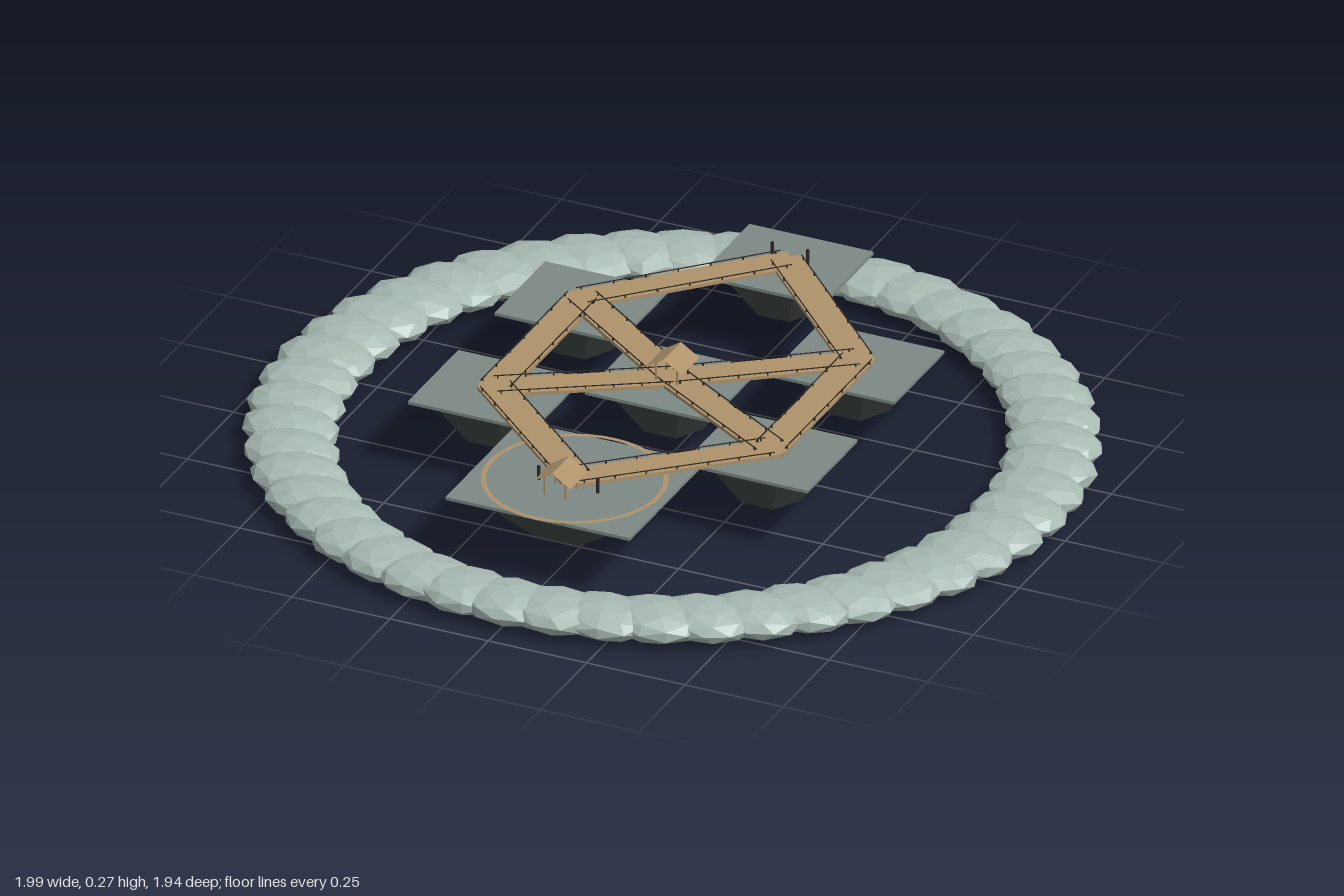
import * as THREE from 'three';

const mat = (name, hex, extra = {}) => {
  const m = new THREE.MeshStandardMaterial({ color: hex, flatShading: true, ...extra });
  m.name = name;
  return m;
};

export function createModel() {
  const stone = mat('paleStone', 0xa9bab3);
  const slate = mat('slateDeck', 0x7e8a85);
  const dark = mat('darkHull', 0x414946);
  const wood = mat('wood', 0xae926a, { side: THREE.DoubleSide });
  const rope = mat('darkRope', 0x2b2622);

  const root = new THREE.Group();
  root.name = 'floatingVillage';

  const add = (parent, name, geo, material, x = 0, y = 0, z = 0) => {
    const m = new THREE.Mesh(geo, material);
    m.name = name;
    m.position.set(x, y, z);
    parent.add(m);
    return m;
  };
  const group = (name, x = 0, y = 0, z = 0) => {
    const g = new THREE.Group();
    g.name = name;
    g.position.set(x, y, z);
    root.add(g);
    return g;
  };

  // Breakwater: overlapping flattened boulders in a circle
  const breakwater = group('breakwater');
  const COUNT = 48;
  for (let i = 0; i < COUNT; i++) {
    const a = (i / COUNT) * Math.PI * 2;
    const geo = new THREE.IcosahedronGeometry(1, 1).rotateY(i * 0.7).scale(0.12, 0.043, 0.092);
    add(breakwater, 'boulder', geo, stone, Math.cos(a) * 0.88, 0.043, Math.sin(a) * 0.88);
  }

  // Platforms: a rectangular deck on a tapered six-sided hull
  const DECK = 0.192;
  const platform = (name, x, z, r) => {
    const g = group(name, x, 0, z);
    const w = r * 2, d = r * Math.sqrt(3);
    add(g, 'deck', new THREE.BoxGeometry(w, 0.008, d), slate, 0, DECK - 0.004, 0);
    const hull = new THREE.CylinderGeometry(r, r * 0.5, 0.105, 6).rotateY(Math.PI / 6);
    add(g, 'hull', hull, dark, 0, DECK - 0.0585, 0);
  };
  const nodes = {
    centre: [0, 0], front: [0, 0.53], back: [0, -0.62],
    frontLeft: [0.35, 0.215], frontRight: [-0.35, 0.215],
    backLeft: [0.35, -0.257], backRight: [-0.35, -0.257],
  };
  for (const [name, [x, z]] of Object.entries(nodes)) {
    platform(name + 'Platform', x, z, name === 'front' ? 0.234 : 0.158);
  }

  // Walkways with rope rails on both edges
  const walkway = (from, to) => {
    const [ax, az] = nodes[from], [bx, bz] = nodes[to];
    const len = Math.hypot(bx - ax, bz - az);
    const g = group('walkway', (ax + bx) / 2, 0, (az + bz) / 2);
    g.rotation.y = Math.atan2(bx - ax, bz - az);
    add(g, 'planks', new THREE.BoxGeometry(0.078, 0.008, len + 0.03), wood, 0, 0.197, 0);
    for (const s of [-1, 1]) {
      add(g, 'rail', new THREE.BoxGeometry(0.002, 0.002, len), rope, s * 0.037, 0.208, 0);
      for (let i = 0; i <= 6; i++) {
        add(g, 'railPost', new THREE.BoxGeometry(0.003, 0.01, 0.003), rope,
          s * 0.037, 0.204, (i / 6 - 0.5) * len * 0.95);
      }
    }
  };
  for (const side of ['Left', 'Right']) {
    walkway('back', 'back' + side);
    walkway('back' + side, 'front' + side);
    walkway('front' + side, 'front');
    walkway('centre', 'back' + side);
    walkway('centre', 'front' + side);
  }

  // Painted circle on the large front deck
  const ring = new THREE.RingGeometry(0.205, 0.217, 48).rotateX(-Math.PI / 2);
  add(root, 'deckCircle', ring, wood, 0, DECK + 0.002, 0.53);

  // Shelters: a two-slope canopy on four thin posts
  const shelter = (z) => {
    const g = group('shelter', 0, 0, z);
    for (const s of [-1, 1]) {
      const slope = new THREE.PlaneGeometry(Math.hypot(0.047, 0.03), 0.095).rotateX(-Math.PI / 2);
      add(g, 'roofSlope', slope, wood, s * 0.0235, 0.253, 0).rotation.z = -s * Math.atan2(0.03, 0.047);
      for (const t of [-1, 1]) {
        add(g, 'post', new THREE.BoxGeometry(0.004, 0.05, 0.004), wood, s * 0.027, 0.223, t * 0.03);
      }
    }
  };
  shelter(0);
  shelter(0.607);

  // Small mooring posts on the front and back decks
  for (const [x, z] of [[0.075, 0.565], [-0.075, 0.565], [0.045, -0.64], [-0.045, -0.64]]) {
    add(root, 'mooringPost', new THREE.CylinderGeometry(0.004, 0.004, 0.036, 6), rope, x, 0.21, z);
  }

  return root;
}
